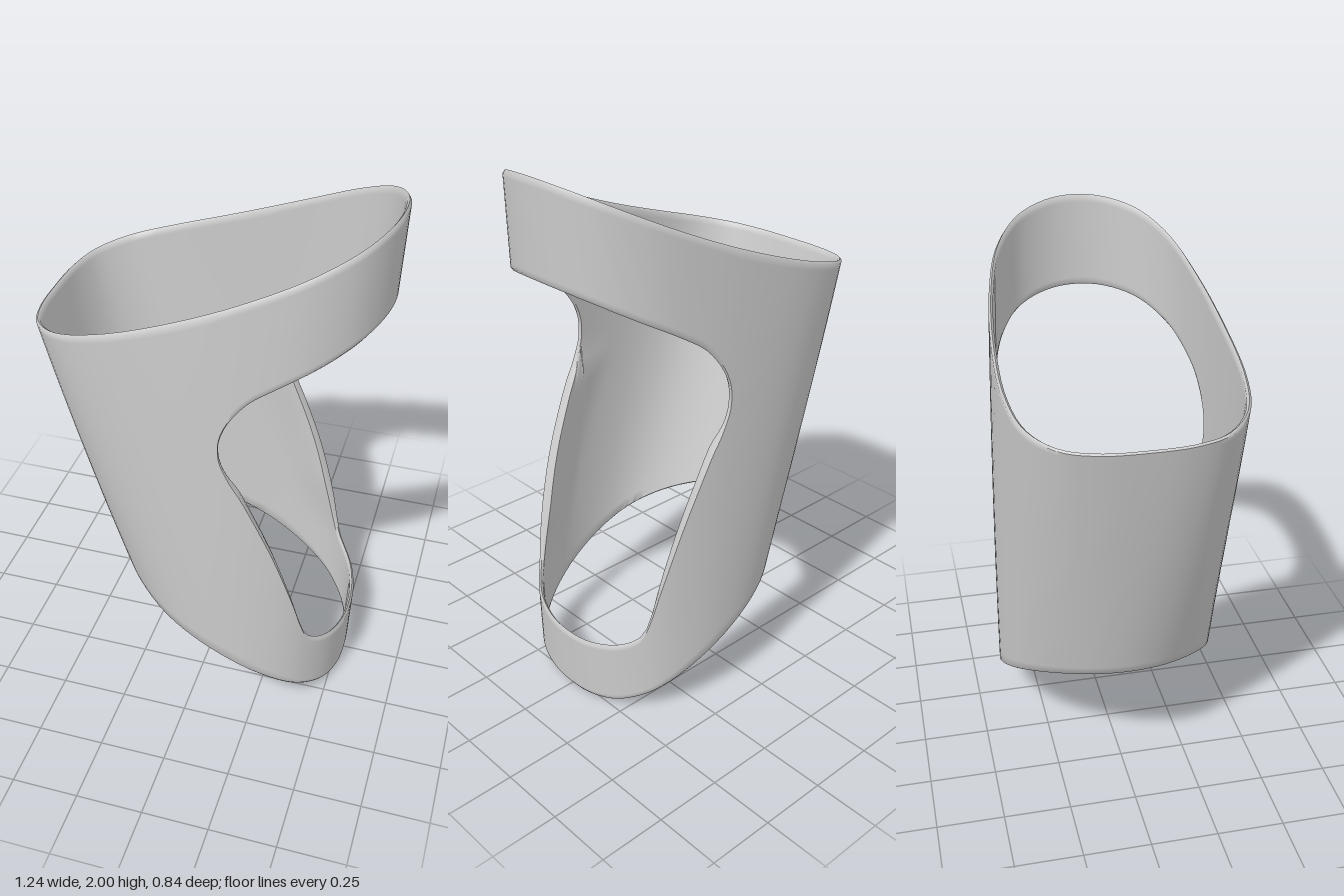
import * as THREE from 'three';
import { toCreasedNormals } from 'three/addons/utils/BufferGeometryUtils.js';

const { smoothstep } = THREE.MathUtils;

// Closed footprint (x, z) mirrored over z = 0, running from the back point to the front point.
const ring = (half) => new THREE.CatmullRomCurve3(
  [...half, ...half.slice(1, -1).reverse().map(([x, z]) => [x, -z])]
    .map(([x, z]) => new THREE.Vector3(x, 0, z)), true);

const topRing = ring([[-0.622, 0], [-0.613, 0.16], [-0.573, 0.28], [-0.47, 0.372], [-0.3, 0.413],
  [-0.05, 0.412], [0.2, 0.382], [0.4, 0.328], [0.53, 0.24], [0.6, 0.12], [0.62, 0]]);
const bottomRing = ring([[-0.392, 0], [-0.367, 0.12], [-0.302, 0.225], [-0.2, 0.325], [-0.08, 0.392],
  [0.08, 0.419], [0.25, 0.4], [0.39, 0.338], [0.48, 0.235], [0.52, 0.12], [0.53, 0]]);

// Rim heights as a function of x.
const topY = (x) => { const t = (x + 0.622) / 1.242; return 1.525 + 0.265 * t + 0.21 * t * t; };
const bottomY = (x) => { const t = (x + 0.392) / 0.922; return 0.506 - 0.396 * t - 0.11 * t * t; };

// Window outline: x of its edge at each height.
const outline = new THREE.SplineCurve([[0.56, 0.235], [0.52, 0.265], [0.455, 0.31], [0.42, 0.37],
  [0.375, 0.55], [0.3, 0.78], [0.2, 1.01], [0.145, 1.11], [0.11, 1.21], [0.13, 1.31], [0.2, 1.41],
  [0.3, 1.48], [0.45, 1.565], [0.64, 1.675]].map(([x, y]) => new THREE.Vector2(x, y))).getPoints(300);
function edgeX(y) {
  const k = outline.findIndex((p) => p.y > y);
  if (k <= 0) return 9;
  const a = outline[k - 1], b = outline[k];
  return a.x + (b.x - a.x) * (y - a.y) / (b.y - a.y);
}

// Outer surface: u from 0 (back) to +-1 (front), v from bottom rim to top rim, slightly bowed.
function surface(u, v) {
  const t = (u / 2 + 1) % 1;
  const b = bottomRing.getPoint(t), p = topRing.getPoint(t);
  b.y = bottomY(b.x);
  p.y = topY(p.x);
  const bow = 4 * v * (1 - v);
  b.lerp(p, v);
  b.x -= 0.01 * bow * (1 - smoothstep(Math.abs(u), 0, 0.5));
  b.z *= 1 + 0.015 * bow;
  return b;
}

// Point at a share of the wall's depth; the wall thickens gently beside the lower window.
function inset(u, v, share, lower) {
  const e = 0.002, p = surface(u, v);
  const du = surface(u + e, v).sub(surface(u - e, v));
  const dv = surface(u, v + e).sub(surface(u, v - e));
  const n = du.cross(dv).setY(0).normalize();
  let thick = 0.016;
  if (lower && p.x > -0.1) {
    thick += 0.02 * smoothstep(p.y, 0.3, 0.6) * (1 - smoothstep(p.y, 1.04, 1.14))
      * (1 - smoothstep(edgeX(p.y) - p.x, 0, 0.22));
  }
  return p.addScaledVector(n, -thick * share);
}

const inWindow = (u, v) => { const p = surface(u, v); return p.x - edgeX(p.y); };

// Largest window depth along a column, with its v.
function deepest(u) {
  let best = [-9, 0];
  for (let v = 0.1; v < 0.9; v += 0.005) {
    const d = inWindow(u, v);
    if (d > best[0]) best = [d, v];
  }
  return best;
}

function bisect(lo, hi, test) {
  for (let k = 0; k < 24; k++) {
    const m = (lo + hi) / 2;
    if (test(m)) hi = m; else lo = m;
  }
  return (lo + hi) / 2;
}

export function createModel() {
  const BACK = 24, FRONT = 32, ROWS = 20, ROUND = 0.006;
  const u0 = bisect(0.3, 0.95, (u) => deepest(u)[0] > 0);
  const v0 = deepest(u0)[1];

  // Half-ring columns, closer together where the window begins.
  const half = [];
  for (let i = 0; i <= BACK; i++) half.push({ u: u0 * i / BACK, low: v0, high: v0, open: false });
  for (let i = 1; i <= FRONT; i++) {
    const u = u0 + (1 - u0) * (i / FRONT) ** 1.8;
    const mid = deepest(u)[1];
    half.push({
      u,
      low: bisect(0, mid, (v) => inWindow(u, v) > 0),
      high: bisect(mid, 1, (v) => inWindow(u, v) <= 0),
      open: true,
    });
  }
  const columns = [...half.slice(1).reverse().map((c) => ({ ...c, u: -c.u })), ...half];

  const verts = [];
  const quad = (a, b, c, d) => [a, b, c, a, c, d].forEach((p) => verts.push(p.x, p.y, p.z));

  // Lower and upper strips meet at v0 behind the window and part around it.
  for (const lower of [true, false]) {
    const grid = columns.map(({ u, low, high, open }) => {
      const start = lower ? 0 : high, end = lower ? low : 1;
      const from = start + (lower || open ? ROUND : 0);
      const to = end - (!lower || open ? ROUND : 0);
      const rows = Array.from({ length: ROWS + 1 }, (_, j) => {
        const v = from + (to - from) * j / ROWS;
        return { out: surface(u, v), in: inset(u, v, 1, lower) };
      });
      return { rows, foot: inset(u, start, 0.5, lower), crown: inset(u, end, 0.5, lower) };
    });
    for (let i = 0; i < columns.length - 1; i++) {
      const { rows: a, foot: footA, crown: crownA } = grid[i];
      const { rows: b, foot: footB, crown: crownB } = grid[i + 1];
      for (let j = 0; j < ROWS; j++) {
        quad(a[j].out, b[j].out, b[j + 1].out, a[j + 1].out);
        quad(b[j].in, a[j].in, a[j + 1].in, b[j + 1].in);
      }
      // Rounded rims
      const atWindow = columns[i].open || columns[i + 1].open;
      if (!lower || atWindow) {
        quad(a[ROWS].out, b[ROWS].out, crownB, crownA);
        quad(crownA, crownB, b[ROWS].in, a[ROWS].in);
      }
      if (lower || atWindow) {
        quad(b[0].out, a[0].out, footA, footB);
        quad(footB, footA, a[0].in, b[0].in);
      }
    }
  }

  const geometry = new THREE.BufferGeometry();
  geometry.setAttribute('position', new THREE.Float32BufferAttribute(verts, 3));
  const shell = new THREE.Mesh(toCreasedNormals(geometry, 1),
    new THREE.MeshStandardMaterial({ color: 0xcccccc, side: THREE.DoubleSide }));
  shell.name = 'windowedSleeve';

  const group = new THREE.Group();
  group.name = 'sleeve';
  group.add(shell);
  return group;
}
